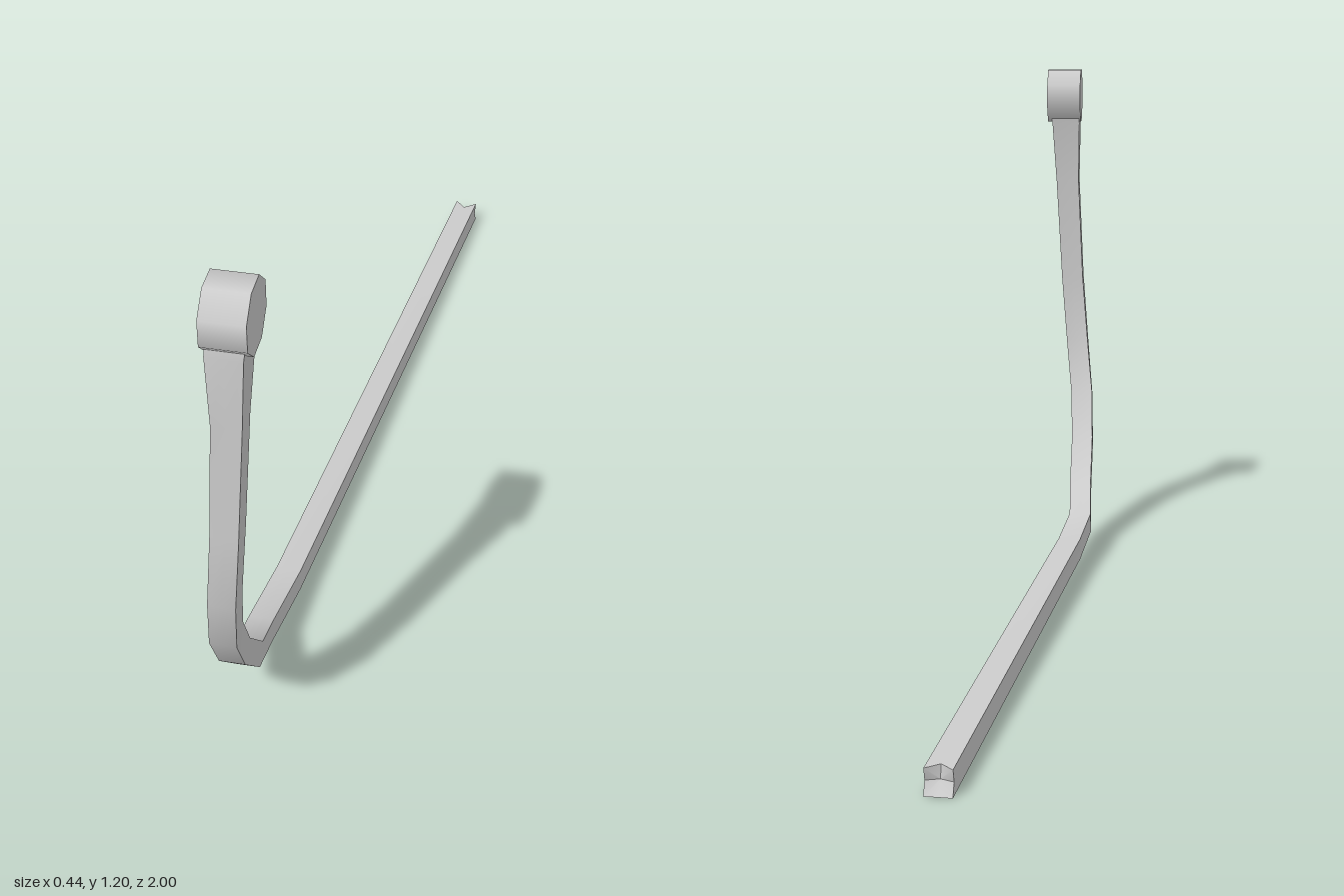
import * as THREE from 'three';
import { toCreasedNormals } from 'three/addons/utils/BufferGeometryUtils.js';

const YAW = 0.237; // heading of the upright and the hub

// Centre line stations: x, y, z, width, depth, yaw
const STATIONS = [
  [-0.193, 0.027, -0.995, 0.052, 0.05, 0.138],
  [0.012, 0.065, 0.48, 0.052, 0.05, 0.138],
  [0.036, 0.088, 0.655, 0.052, 0.05, 0.19],
  [0.069, 0.142, 0.768, 0.052, 0.052, YAW],
  [0.091, 0.25, 0.86, 0.052, 0.052, YAW],
  [0.111, 0.365, 0.922, 0.053, 0.053, YAW],
  [0.133, 0.5, 0.955, 0.053, 0.053, YAW],
  [0.147, 0.67, 0.955, 0.053, 0.053, YAW],
  [0.157, 0.92, 0.942, 0.056, 0.056, YAW],
  [0.159, 1.07, 0.934, 0.068, 0.083, YAW],
  [0.16, 1.1, 0.928, 0.07, 0.085, YAW],
];

// Square section with edge midpoints, so that the open end can be notched
const SECTION = [[1, 0], [1, 1], [0, 1], [-1, 1], [-1, 0], [-1, -1], [0, -1], [1, -1]];
const NOTCH = [0.012, 0.004, 0.028, 0.004, 0.012, 0, 0, 0];

function barGeometry() {
  const centres = STATIONS.map(([x, y, z]) => new THREE.Vector3(x, y, z));
  const n = SECTION.length, last = centres.length - 1;
  const pos = [], index = [];
  centres.forEach((c, i) => {
    const [, , , w, d, yaw] = STATIONS[i];
    // Mitre direction: average of the two neighbouring segments
    const t = new THREE.Vector3();
    if (i > 0) t.add(c.clone().sub(centres[i - 1]).normalize());
    if (i < last) t.add(centres[i + 1].clone().sub(c).normalize());
    t.normalize();
    const r = new THREE.Vector3(Math.cos(yaw), 0, -Math.sin(yaw));
    r.addScaledVector(t, -r.dot(t)).normalize();
    const up = t.clone().cross(r);
    SECTION.forEach(([u, v], j) => {
      const p = c.clone().addScaledVector(r, u * w / 2).addScaledVector(up, v * d / 2);
      if (i === 0) p.addScaledVector(t, NOTCH[j]);
      pos.push(p.x, p.y, p.z);
    });
  });
  for (let i = 0; i < last; i++) {
    for (let j = 0; j < n; j++) {
      const a = i * n + j, b = i * n + (j + 1) % n;
      index.push(a, b, b + n, a, b + n, a + n);
    }
  }
  // Hollowed back end and the cap inside the hub
  const dir = centres[1].clone().sub(centres[0]).normalize();
  const back = centres[0].clone().addScaledVector(dir, 0.022);
  const backId = pos.length / 3, topId = backId + 1;
  pos.push(back.x, back.y, back.z, ...centres[last].toArray());
  for (let j = 0; j < n; j++) {
    const k = (j + 1) % n;
    index.push(backId, k, j, topId, last * n + j, last * n + k);
  }
  const geo = new THREE.BufferGeometry();
  geo.setAttribute('position', new THREE.Float32BufferAttribute(pos, 3));
  geo.setIndex(index);
  return toCreasedNormals(geo, 0.7);
}

export function createModel() {
  const group = new THREE.Group();
  group.name = 'bentLever';
  const material = new THREE.MeshStandardMaterial({ color: 0xcccccc });

  // Long bar curving up into the upright
  const bar = new THREE.Mesh(barGeometry(), material);
  bar.name = 'bentBar';
  group.add(bar);

  // Eight-sided pivot hub with its axis across the bar
  const hubGeo = new THREE.CylinderGeometry(0.0705, 0.0705, 0.083, 8);
  hubGeo.rotateY(Math.PI / 8);
  hubGeo.rotateZ(-Math.PI / 2);
  const hub = new THREE.Mesh(hubGeo, material);
  hub.name = 'pivotHub';
  hub.position.set(0.161, 1.135, 0.924);
  hub.rotation.y = YAW;
  group.add(hub);

  return group;
}
